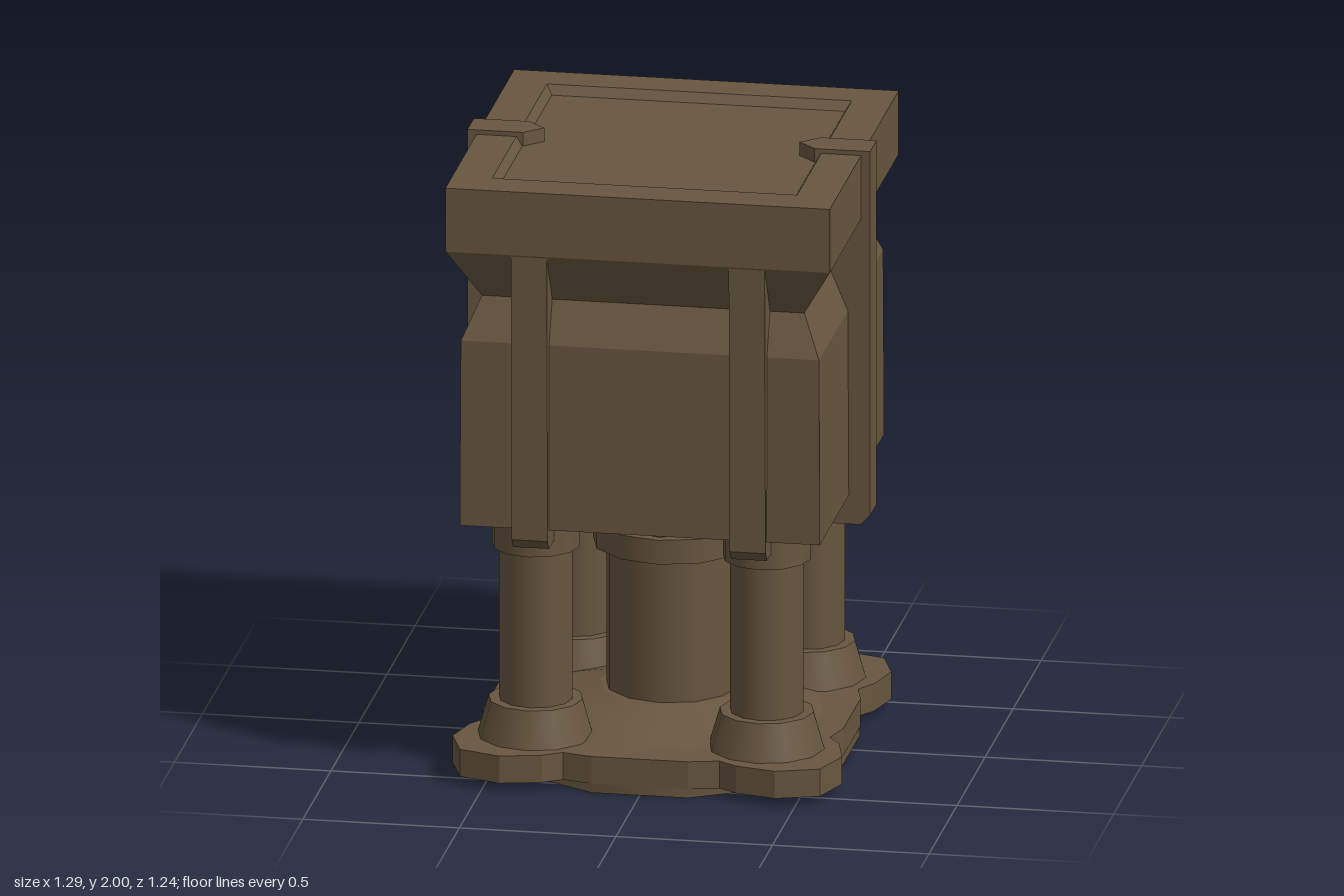
import * as THREE from 'three';

const brown = new THREE.MeshStandardMaterial({ color: 0x68563f });
brown.name = 'weathered brown';

export function createModel() {
  const model = new THREE.Group();
  model.name = 'containerOnStand';

  const add = (name, geometry, parent = model) => {
    const mesh = new THREE.Mesh(geometry, brown);
    mesh.name = name;
    parent.add(mesh);
    return mesh;
  };
  const v2 = (points) => points.map(([x, y]) => new THREE.Vector2(x, y));
  const extrude = (points, depth) =>
    new THREE.ExtrudeGeometry(new THREE.Shape(v2(points)), { depth, bevelEnabled: false });
  // Upright round section between two heights
  const round = (name, rBottom, rTop, y0, y1, parent, start = 0) => {
    const g = new THREE.CylinderGeometry(rTop, rBottom, y1 - y0, 12, 1, false, start);
    add(name, g.translate(0, (y0 + y1) / 2, 0), parent);
  };

  // Square container: half-widths by height, with pinched neck and sunken lid
  const profile = [[0, 0.86], [0.575, 0.86], [0.572, 1.47], [0.515, 1.605], [0.614, 1.775],
    [0.614, 1.985], [0.487, 1.985], [0.468, 1.955], [0, 1.955]];
  const body = new THREE.LatheGeometry(
    v2(profile.map(([r, y]) => [r * Math.SQRT2, y])), 4, Math.PI / 4).toNonIndexed();
  body.computeVertexNormals();
  add('containerBody', body);

  // Straps running down the front and back and under the container
  const strapW = 0.115;
  for (const side of [-1, 1]) {
    const g = extrude([[-0.57, 0.797], [0.57, 0.797], [0.598, 0.83], [0.611, 1.78],
      [-0.611, 1.78], [-0.598, 0.83]], strapW);
    g.translate(0, 0, -strapW / 2).rotateY(Math.PI / 2).translate(side * 0.348, 0, 0);
    add('frontBackStrap', g);
  }

  // Thicker strap around the left and right sides
  const sideStrap = extrude([[-0.612, 0.765], [0.612, 0.765], [0.643, 0.797], [0.643, 1.94],
    [-0.643, 1.94], [-0.643, 0.797]], strapW);
  add('sideStrap', sideStrap.translate(0, 0, -strapW / 2));

  // Pointed clips folding over the lid
  for (const side of [0, Math.PI]) {
    const h = strapW / 2;
    const g = extrude([[0.643, -h], [0.643, h], [0.465, h], [0.408, 0], [0.465, -h]], 0.06);
    add('lidClip', g.rotateX(-Math.PI / 2).rotateY(side).translate(0, 1.94, 0));
  }

  // Central column
  const column = new THREE.Group();
  column.name = 'centralColumn';
  model.add(column);
  round('columnFoot', 0.5, 0.23, 0.115, 0.19, column);
  round('columnShaft', 0.21, 0.21, 0.18, 0.67, column);
  round('columnCollar', 0.252, 0.252, 0.66, 0.74, column);
  round('columnTop', 0.22, 0.22, 0.74, 0.865, column);

  // Four corner legs
  for (const x of [-1, 1]) for (const z of [-1, 1]) {
    const leg = new THREE.Group();
    leg.name = 'cornerLeg';
    leg.position.set(x * 0.369, 0, z * 0.369);
    model.add(leg);
    round('legFoot', 0.186, 0.15, 0.115, 0.24, leg);
    round('legShaft', 0.117, 0.117, 0.23, 0.75, leg);
    round('legCollar', 0.14, 0.14, 0.745, 0.865, leg);
  }

  // Lobed base plate: one corner outline turned four times
  const corner = [[0.575, 0.154], [0.55, 0.25], [0.59, 0.31], [0.622, 0.44], [0.575, 0.575],
    [0.44, 0.622], [0.31, 0.59], [0.25, 0.55], [0.154, 0.575]];
  const outline = [];
  for (let i = 0; i < 4; i++) {
    const c = Math.round(Math.cos(i * Math.PI / 2)), s = Math.round(Math.sin(i * Math.PI / 2));
    for (const [x, y] of corner) outline.push([x * c - y * s, x * s + y * c]);
  }
  add('basePlate', extrude(outline, 0.09).rotateX(-Math.PI / 2).translate(0, 0.03, 0));
  round('baseDisc', 0.594, 0.594, 0, 0.035, model, Math.PI / 12);

  return model;
}
